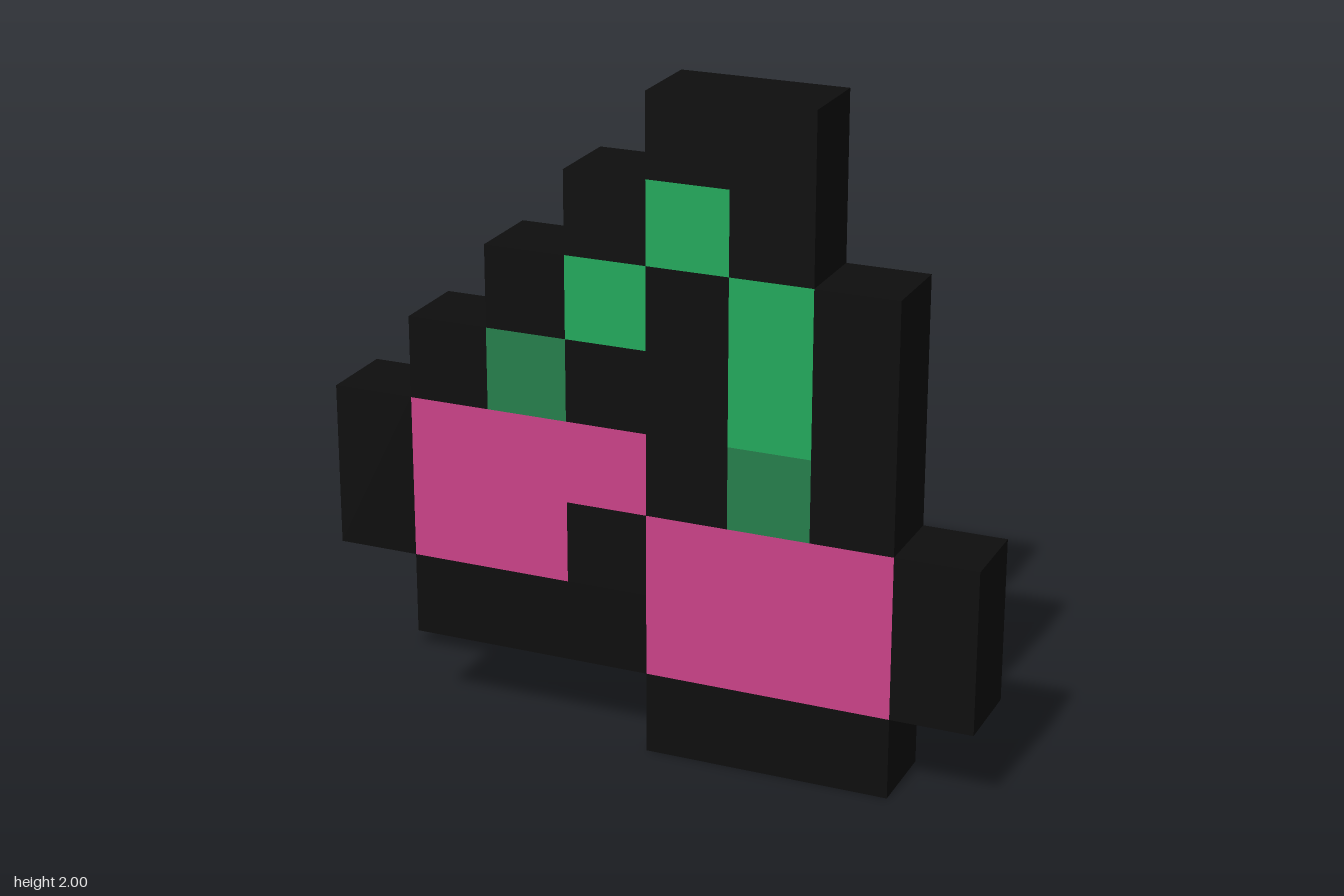
import * as THREE from 'three';

const CELL = 0.25; // one block of the pixel grid

const material = (name, color) => {
  const m = new THREE.MeshStandardMaterial({ color });
  m.name = name;
  return m;
};

// Each block is [left, bottom, right, top] in grid cells.
function addPart(parent, name, mat, blocks) {
  const part = new THREE.Group();
  part.name = name;
  blocks.forEach(([x0, y0, x1, y1], i) => {
    const block = new THREE.Mesh(
      new THREE.BoxGeometry((x1 - x0) * CELL, (y1 - y0) * CELL, CELL), mat);
    block.position.set((x0 + x1) / 2 * CELL, (y0 + y1) / 2 * CELL, 0);
    block.name = `${name}Block${i + 1}`;
    part.add(block);
  });
  parent.add(part);
}

export function createModel() {
  const model = new THREE.Group();
  model.name = 'pixelCherries';

  const black = material('outline black', 0x0e0e0e);
  const green = material('stem green', 0x23a85c);
  const darkGreen = material('shaded stem green', 0x257e4b);
  const pink = material('cherry pink', 0xca4288);

  // Black border around the stems
  addPart(model, 'stemOutline', black, [
    [0, 7, 2, 8], [1, 6, 2, 7], [2, 3, 3, 6],     // top and outer left edge
    [-1, 6, 0, 7], [-2, 5, -1, 6], [-3, 4, -2, 5], // stepped right edge
    [0, 3, 1, 6], [-1, 4, 0, 5],                   // gap between the stems
  ]);

  // Black border around the cherries
  addPart(model, 'rightCherryOutline', black, [
    [-4, 2, -3, 4], [-3, 1, 0, 2], [-1, 2, 0, 3],
  ]);
  addPart(model, 'leftCherryOutline', black, [[3, 1, 4, 3], [0, 0, 3, 1]]);

  // Stems with darker ends where they meet the fruit
  addPart(model, 'stemTop', green, [[0, 6, 1, 7]]);
  addPart(model, 'rightStem', green, [[-1, 5, 0, 6]]);
  addPart(model, 'leftStem', green, [[1, 4, 2, 6]]);
  addPart(model, 'rightStemBase', darkGreen, [[-2, 4, -1, 5]]);
  addPart(model, 'leftStemBase', darkGreen, [[1, 3, 2, 4]]);

  // Fruit
  addPart(model, 'rightCherry', pink, [[-3, 3, 0, 4], [-3, 2, -1, 3]]);
  addPart(model, 'leftCherry', pink, [[0, 1, 3, 3]]);

  return model;
}
